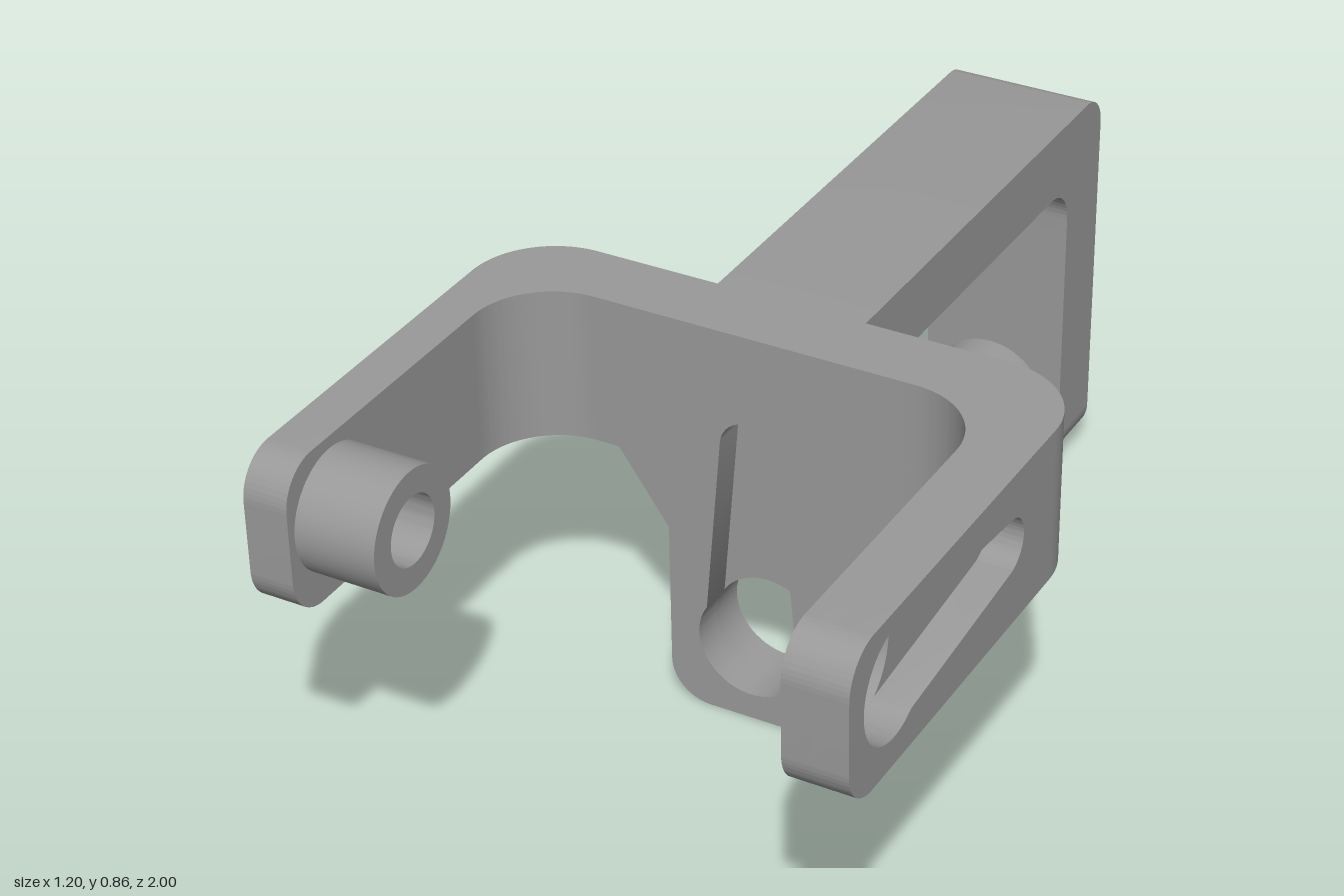
import * as THREE from 'three';
import { toCreasedNormals } from 'three/addons/utils/BufferGeometryUtils.js';

const HALF = Math.PI / 2;
const BOTTOM = 0.54, TOP = 0.855; // height of the fork band
const CX = -0.025;                // axis of the front plate and rear pivot

// rectangle with separate corner radii: bottom left, bottom right, top right, top left
function roundedRect(x0, y0, x1, y1, [bl, br, tr, tl]) {
  const s = new THREE.Shape();
  s.moveTo(x0 + bl, y0).lineTo(x1 - br, y0);
  if (br) s.absarc(x1 - br, y0 + br, br, -HALF, 0);
  s.lineTo(x1, y1 - tr);
  if (tr) s.absarc(x1 - tr, y1 - tr, tr, 0, HALF);
  s.lineTo(x0 + tl, y1);
  if (tl) s.absarc(x0 + tl, y1 - tl, tl, HALF, Math.PI);
  s.lineTo(x0, y0 + bl);
  if (bl) s.absarc(x0 + bl, y0 + bl, bl, Math.PI, 1.5 * Math.PI);
  return s;
}

const circle = (x, y, r) => new THREE.Path().absarc(x, y, r, 0, Math.PI * 2, true);

// round hole with a tapering slot pointing along the angle dir
function keyhole(x, y, r, length, tip, dir) {
  const p = new THREE.Path(), a = 1.0, t = 1.48;
  p.absarc(x, y, r, dir + a, dir - a + Math.PI * 2, false);
  p.absarc(x + length * Math.cos(dir), y + length * Math.sin(dir), tip, dir - t, dir + t, false);
  p.closePath();
  return p;
}

function ring(x, y, outer, inner) {
  const s = new THREE.Shape().absarc(x, y, outer, 0, Math.PI * 2, false);
  s.holes.push(circle(x, y, inner));
  return s;
}

export function createModel() {
  const model = new THREE.Group();
  model.name = 'forkBracket';
  const grey = new THREE.MeshStandardMaterial({ color: 0x999999 });
  grey.name = 'grey';

  // extrude a shape between two positions along the given axis
  // axis x: shape is (-z, y); axis y: shape is (x, -z); axis z: shape is (x, y)
  function add(name, shape, axis, from, to) {
    let g = new THREE.ExtrudeGeometry(shape, { depth: to - from, bevelEnabled: false, curveSegments: 28 });
    g.translate(0, 0, from);
    if (axis === 'x') g.rotateY(HALF);
    if (axis === 'y') g.rotateX(-HALF);
    const mesh = new THREE.Mesh(toCreasedNormals(g, 0.5), grey);
    mesh.name = name;
    model.add(mesh);
  }

  // front plate: rear layer with a round hole, front layer with the slotted recess
  function plate(hole) {
    const s = new THREE.Shape(), r = 0.085;
    s.moveTo(-0.2 + r, 0).lineTo(0.17 - r, 0);
    s.absarc(0.17 - r, r, r, -HALF, 0);
    s.lineTo(0.17, 0.39).lineTo(0.275, BOTTOM).lineTo(0.275, TOP);
    s.lineTo(-0.305, TOP).lineTo(-0.305, BOTTOM).lineTo(-0.2, 0.39).lineTo(-0.2, r);
    s.absarc(-0.2 + r, r, r, Math.PI, 1.5 * Math.PI);
    s.holes.push(hole);
    return s;
  }
  add('frontPlateBack', plate(circle(CX, 0.168, 0.113)), 'z', 0.05, 0.13);
  add('frontPlateRecess', plate(keyhole(CX, 0.168, 0.113, 0.44, 0.061, HALF)), 'z', 0.13, 0.2);

  // curved fork corners
  const right = new THREE.Shape();
  right.moveTo(-0.305, -0.05).lineTo(-0.43, -0.05);
  right.absarc(-0.43, -0.22, 0.17, HALF, Math.PI);
  right.lineTo(-0.6, -0.36).lineTo(-0.51, -0.36);
  right.absarc(-0.35, -0.36, 0.16, Math.PI, HALF, true);
  right.lineTo(-0.305, -0.2);
  add('rightForkCorner', right, 'y', BOTTOM, TOP);

  const left = new THREE.Shape();
  left.moveTo(0.275, -0.05).lineTo(0.275, -0.2).lineTo(0.315, -0.2);
  left.absarc(0.315, -0.36, 0.16, HALF, 0, true);
  left.lineTo(0.53, -0.36).lineTo(0.53, -0.22).lineTo(0.6, -0.22);
  left.absarc(0.43, -0.22, 0.17, 0, HALF);
  add('leftForkCorner', left, 'y', BOTTOM, TOP);

  // left fork arm: inner layer with hole, outer layer with slotted recess
  const inner = roundedRect(-1, BOTTOM, -0.36, TOP, [0.085, 0, 0, 0.085]);
  inner.holes.push(circle(-0.835, 0.71, 0.113));
  add('leftArmInner', inner, 'x', 0.475, 0.53);
  const outer = roundedRect(-1, BOTTOM, -0.22, TOP, [0.085, 0, 0, 0.085]);
  outer.holes.push(keyhole(-0.835, 0.71, 0.113, 0.44, 0.056, 0));
  add('leftArmRecess', outer, 'x', 0.53, 0.6);

  // right fork arm with hollow pivot boss
  const arm = roundedRect(-0.97, BOTTOM, -0.36, TOP, [0.085, 0, 0, 0.085]);
  arm.holes.push(circle(-0.832, 0.71, 0.069));
  add('rightArm', arm, 'x', -0.6, -0.51);
  add('rightArmBoss', ring(-0.832, 0.71, 0.121, 0.069), 'x', -0.51, -0.345);

  // rear beam with filleted ends
  const beam = new THREE.Shape(), f = 0.08;
  beam.moveTo(-0.05, TOP).lineTo(-0.05, 0.71 - f);
  beam.absarc(-0.05 + f, 0.71 - f, f, Math.PI, HALF, true);
  beam.lineTo(0.85 - f, 0.71);
  beam.absarc(0.85 - f, 0.71 - f, f, HALF, 0, true);
  beam.lineTo(0.85, 0.55).lineTo(1, 0.55).lineTo(1, TOP - 0.07);
  beam.absarc(0.93, TOP - 0.07, 0.07, 0, HALF);
  add('rearBeam', beam, 'x', -0.17, 0.14);

  // rear leg with hollow pivot boss
  const leg = roundedRect(-0.17, 0.03, 0.14, 0.55, [0.075, 0.075, 0, 0]);
  leg.holes.push(circle(CX, 0.168, 0.069));
  add('rearLeg', leg, 'z', -1, -0.85);
  add('rearLegBoss', ring(CX, 0.168, 0.128, 0.069), 'z', -0.85, -0.74);

  return model;
}
